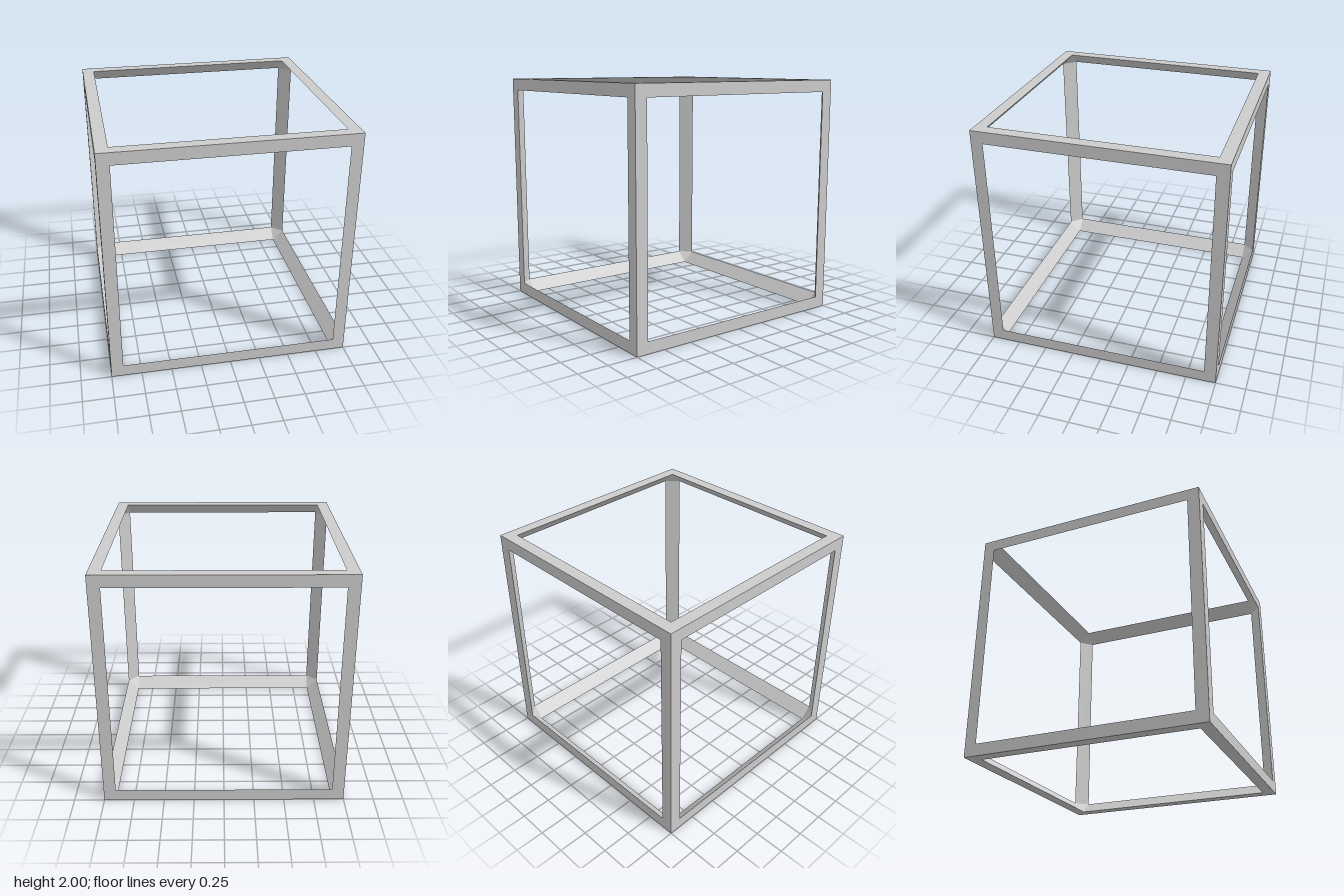
import * as THREE from 'three';

const H = 1;          // half the cube's side
const W = 0.1;        // width of a frame bar
const I = H - W;      // half the opening

export function createModel() {
  const model = new THREE.Group();
  const frame = new THREE.Group();
  frame.name = 'cubeFrame';
  frame.position.y = H;
  const material = new THREE.MeshStandardMaterial({ color: 0xcccccc, flatShading: true });

  const add = (name, geometry) => {
    const mesh = new THREE.Mesh(geometry, material);
    mesh.name = name;
    frame.add(mesh);
    return mesh;
  };
  const square = (Type, r) => new Type([[-r, -r], [r, -r], [r, r], [-r, r]].map(p => new THREE.Vector2(...p)));

  // Outer faces: six flat square frames
  const outline = square(THREE.Shape, H);
  outline.holes.push(square(THREE.Path, I));
  const faceGeometry = new THREE.ShapeGeometry(outline).translate(0, 0, H);
  const faces = {
    front: [0, 0], left: [0, 1], back: [0, 2], right: [0, 3], top: [-1, 0], bottom: [1, 0],
  };
  for (const [side, [rx, ry]] of Object.entries(faces)) {
    add(side + 'Face', faceGeometry).rotation.set(rx * Math.PI / 2, ry * Math.PI / 2, 0);
  }

  // Inner faces of the triangular bars: twelve slanted strips facing the centre
  const slant = W * Math.SQRT2;
  const mid = H - W / 2;
  const wide = new THREE.PlaneGeometry(2 * I, slant);
  const tall = new THREE.PlaneGeometry(slant, 2 * I);
  const centre = new THREE.Vector3();
  for (const a of [-mid, mid]) {
    for (const b of [-mid, mid]) {
      const strips = [
        ['crossBar', wide, [0, a, b]],
        ['uprightBar', tall, [a, 0, b]],
        ['depthBar', wide, [a, b, 0]],
      ];
      for (const [name, geometry, position] of strips) {
        const strip = new THREE.Mesh(geometry, material);
        strip.name = name;
        strip.position.set(...position);
        strip.lookAt(centre);
        frame.add(strip);
      }
    }
  }

  // Inner corners: a small triangle where three bars meet
  for (const x of [-1, 1]) for (const y of [-1, 1]) for (const z of [-1, 1]) {
    const points = [[I * x, I * y, H * z], [I * x, H * y, I * z], [H * x, I * y, I * z]];
    if (x * y * z < 0) points.reverse();
    const corner = new THREE.BufferGeometry();
    corner.setAttribute('position', new THREE.Float32BufferAttribute(points.flat(), 3));
    corner.computeVertexNormals();
    add('innerCorner', corner);
  }

  model.add(frame);
  return model;
}
